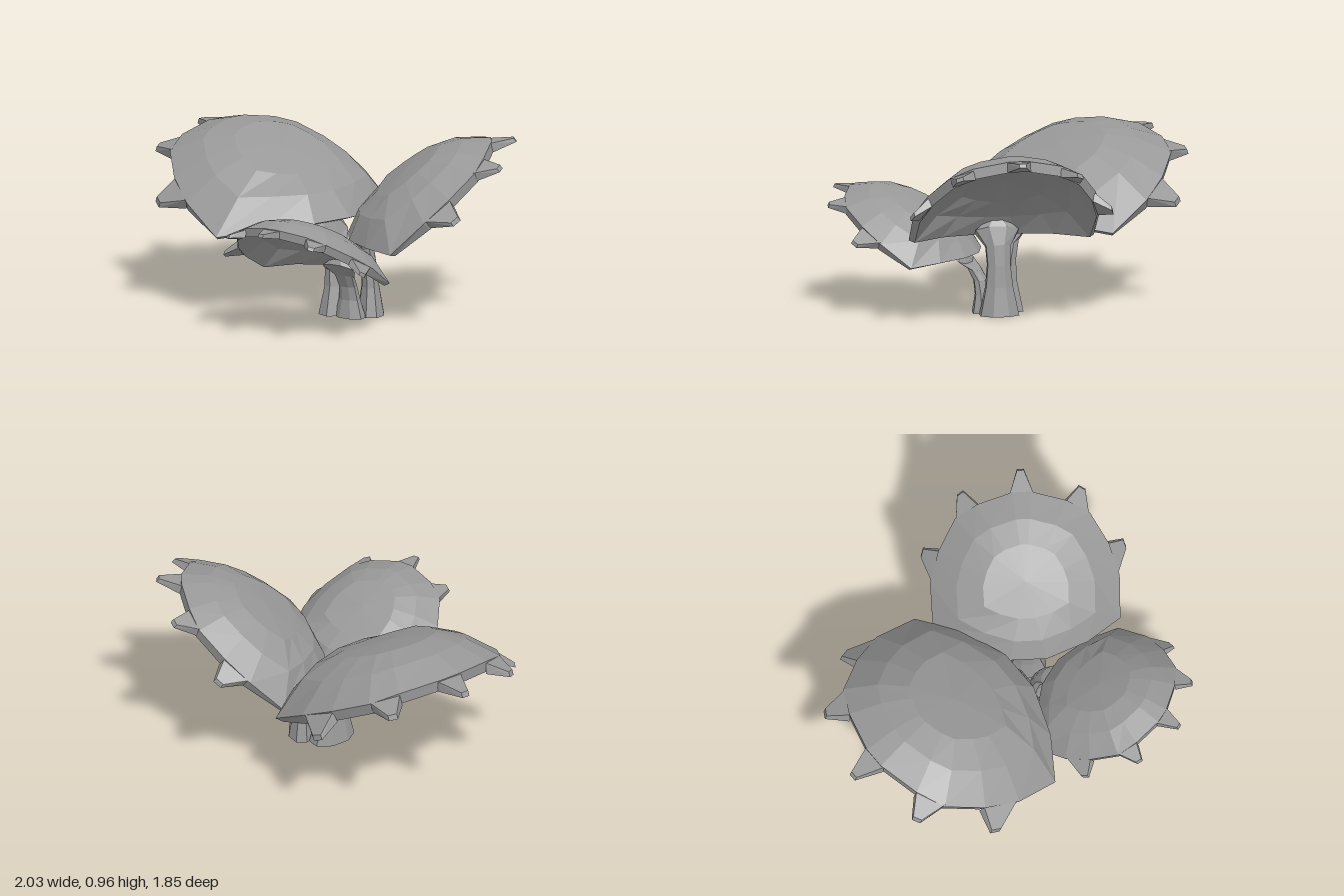
import * as THREE from 'three';
import { ConvexGeometry } from 'three/addons/geometries/ConvexGeometry.js';

const material = new THREE.MeshStandardMaterial({ color: 0x989898, flatShading: true });

// Skin a stack of closed rings that all have the same number of [x, y, z] points
function loft(rings) {
  const pos = [];
  const n = rings[0].length;
  for (let k = 0; k < rings.length - 1; k++) {
    for (let i = 0; i < n; i++) {
      const j = (i + 1) % n, a = rings[k], b = rings[k + 1];
      pos.push(...a[j], ...a[i], ...b[i], ...a[j], ...b[i], ...b[j]);
    }
  }
  const geo = new THREE.BufferGeometry();
  geo.setAttribute('position', new THREE.Float32BufferAttribute(pos, 3));
  geo.computeVertexNormals();
  return geo;
}

function part(name, geo) {
  const mesh = new THREE.Mesh(geo, material);
  mesh.name = name;
  return mesh;
}

// Half of the cap outline, from the front centre round to the back: [side, outward, rim lift]
const half = [
  [0.05, 0.75, 0.04], [0.24, 0.69, 0.035], [0.36, 0.61, 0.02], [0.455, 0.43, 0.01],
  [0.505, 0.25, 0], [0.5, 0, 0], [0.32, -0.1, 0.075], [0.1, -0.17, 0.12],
];
const outline = [...half.slice().reverse(), ...half.map(([x, z, y]) => [-x, z, y])];
const CENTRE = 0.3;

// Outline shrunk towards the cap's middle; height may vary with the rim lift
const ring = (s, height) => outline.map(([x, z, lift]) =>
  [x * s, height(lift, z), CENTRE + (z - CENTRE) * s]);

// Arched shell: underside from the middle outwards, over the rim, back to the top
function capGeometry() {
  const crown = (base, back) => (lift) => base + back * lift;
  return loft([
    ring(0, () => 0.205),
    ring(0.43, () => 0.185),
    ring(0.7, crown(0.12, 0.35)),
    ring(0.945, (lift) => lift),
    ring(1, (lift, z) => lift + (z > 0.1 ? 0.05 : 0.025)),
    ring(0.73, crown(0.168, 0.4)),
    ring(0.45, () => 0.235),
    ring(0, () => 0.248),
  ]);
}

// Blunt wedge spike: base edge a-b on the rim (tops at baseY), reaching out to the tip t
function spikeGeometry([ax, az], [bx, bz], baseY, [tx, tz], tipY) {
  const pts = [];
  for (const [x, z] of [[ax, az], [bx, bz]]) {
    for (const [s, y] of [[0.985, baseY], [0.955, baseY - 0.05]]) {
      pts.push(new THREE.Vector3(x * s, y, CENTRE + (z - CENTRE) * s));
    }
  }
  const ex = (bx - ax) * 0.14, ez = (bz - az) * 0.14;
  for (const s of [-1, 1]) {
    pts.push(new THREE.Vector3(tx + s * ex, tipY + 0.015, tz + s * ez));
    pts.push(new THREE.Vector3(tx + s * ex, tipY - 0.01, tz + s * ez));
  }
  return new ConvexGeometry(pts);
}

// Spikes: [base start, base end, base height, tip, tip height]; the first is on the centre line
const spikes = [
  [[0.065, 0.745], [-0.065, 0.745], 0.09, [0.0, 0.85], 0.01],
  [[0.36, 0.61], [0.24, 0.69], 0.077, [0.325, 0.73], 0.0],
  [[0.505, 0.26], [0.455, 0.43], 0.055, [0.54, 0.395], -0.04],
];

// Waisted stem that flares into the back of the cap
function stemGeometry(size, height, baseX, baseZ) {
  const sections = [ // y, half width, half depth, lean towards the cap, slope of the section
    [0, 0.112, 0.075, 0, 0], [height * 0.37, 0.078, 0.05, 0.05, 0],
    [height * 0.65, 0.066, 0.043, 0.18, 0], [height * 0.88, 0.072, 0.043, 0.48, 0.3],
    [height + 0.025 * size, 0.125, 0.045, 1, 0.8],
  ];
  const topZ = -0.16 * size;
  const rings = sections.map(([y, w, d, t, slope]) => Array.from({ length: 8 }, (_, i) => {
    const a = ((i + 0.5) / 8) * Math.PI * 2;
    const dz = Math.sin(a) * d * size;
    return [
      baseX * (1 - t) + Math.cos(a) * w * size, y + slope * dz,
      baseZ + (topZ - baseZ) * t + dz,
    ];
  }));
  const foot = rings[0].map(() => [baseX, 0, baseZ]);
  const peak = rings[0].map(() => [0, height + 0.13 * size, topZ]);
  return loft([foot, ...rings, peak]);
}

// One stem with its tilted cap; mid is the point halfway between the cap's two low corners
function createLobe({ name, mid, height, out, size, depth, tilt, base }) {
  const lobe = new THREE.Group();
  lobe.name = name;
  const yaw = Math.atan2(out[0], out[1]);
  lobe.position.set(mid[0], 0, mid[1]);
  lobe.rotation.y = yaw;

  const dx = base[0] - mid[0], dz = base[1] - mid[1];
  const baseX = dx * Math.cos(yaw) - dz * Math.sin(yaw);
  const baseZ = dx * Math.sin(yaw) + dz * Math.cos(yaw);
  lobe.add(part('stem', stemGeometry(size, height, baseX, baseZ)));

  const cap = new THREE.Group();
  cap.name = 'cap';
  cap.position.y = height;
  cap.rotation.x = -THREE.MathUtils.degToRad(tilt);
  cap.scale.set(size, size, size * depth);
  cap.add(part('capShell', capGeometry()));
  spikes.forEach(([a, b, baseY, tip, tipY], i) => {
    for (const side of i === 0 ? [1] : [1, -1]) {
      const m = ([x, z]) => [x * side, z];
      cap.add(part('rimSpike', spikeGeometry(m(a), m(b), baseY, m(tip), tipY)));
    }
  });
  lobe.add(cap);
  return lobe;
}

export function createModel() {
  const model = new THREE.Group();
  model.name = 'cappedPlantCluster';
  const lobes = [
    { name: 'largeBackLobe', mid: [-0.17, -0.14], height: 0.42, out: [-0.82, -0.57], size: 1.19, depth: 0.97, tilt: 24, base: [0.08, -0.01] },
    { name: 'leftLobe', mid: [0.345, -0.05], height: 0.418, out: [0.945, -0.325], size: 1, depth: 1, tilt: 38, base: [0.245, -0.02] },
    { name: 'smallFrontLobe', mid: [0.097, 0.315], height: 0.265, out: [-0.27, 0.96], size: 0.81, depth: 1.04, tilt: 28.5, base: [0.16, 0.075] },
  ];
  for (const spec of lobes) model.add(createLobe(spec));
  return model;
}
